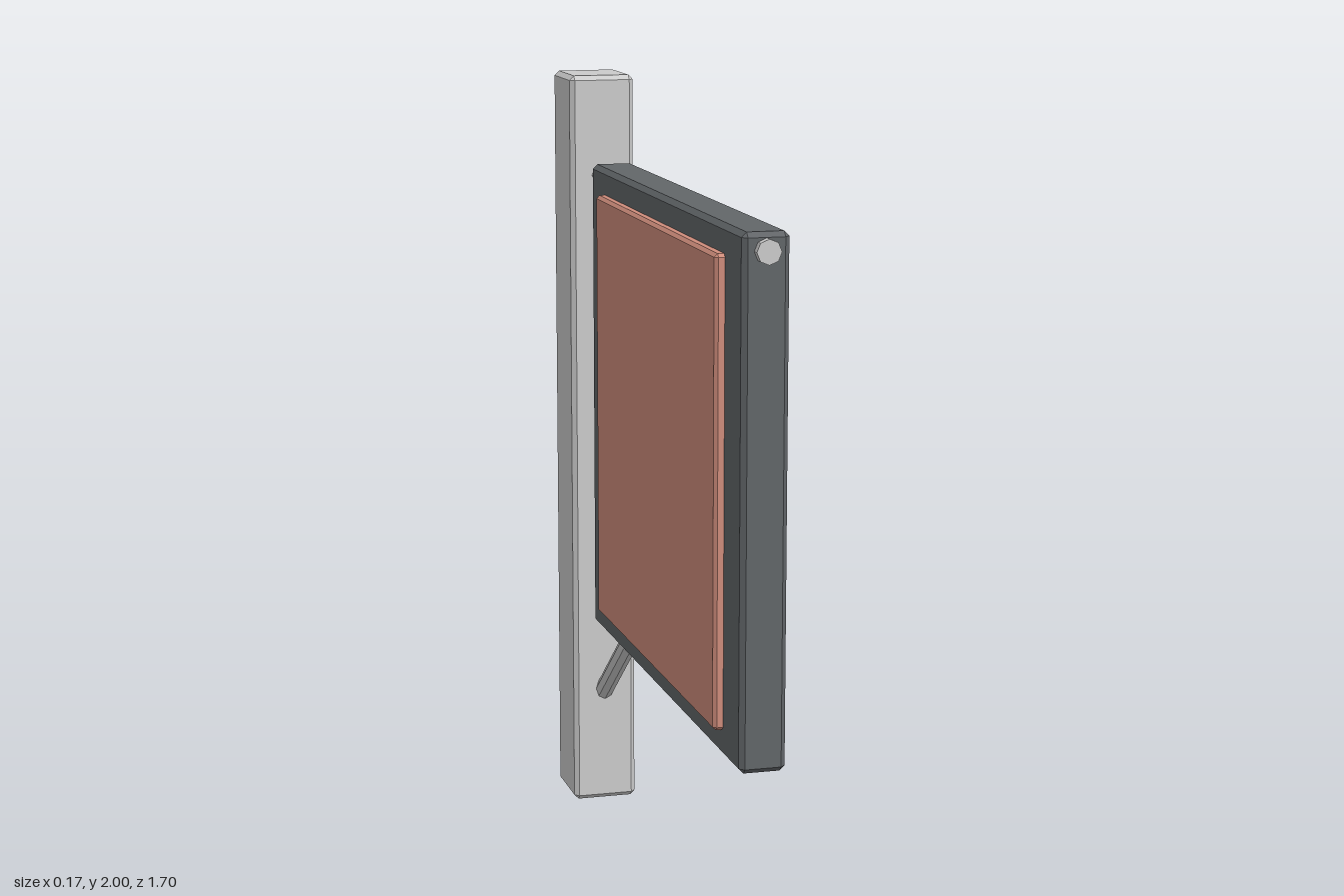
import * as THREE from 'three';
import { ConvexGeometry } from 'three/addons/geometries/ConvexGeometry.js';

const paint = (color) => new THREE.MeshStandardMaterial({ color, flatShading: true });

// Box with every edge chamfered by c, spanning the given half width, y range and z range
function chamferBox(name, halfX, [y0, y1], [z0, z1], c, material) {
  const hy = (y1 - y0) / 2, hz = (z1 - z0) / 2;
  const points = [];
  for (const sx of [-1, 1]) for (const sy of [-1, 1]) for (const sz of [-1, 1]) {
    points.push(
      new THREE.Vector3(sx * halfX, sy * (hy - c), sz * (hz - c)),
      new THREE.Vector3(sx * (halfX - c), sy * hy, sz * (hz - c)),
      new THREE.Vector3(sx * (halfX - c), sy * (hy - c), sz * hz));
  }
  const mesh = new THREE.Mesh(new ConvexGeometry(points), material);
  mesh.name = name;
  mesh.position.set(0, (y0 + y1) / 2, (z0 + z1) / 2);
  return mesh;
}

// Eight-sided rod between two points
function rod(name, from, to, radius, material) {
  const dir = to.clone().sub(from);
  const mesh = new THREE.Mesh(new THREE.CylinderGeometry(radius, radius, dir.length(), 8), material);
  mesh.name = name;
  mesh.position.copy(from).add(to).multiplyScalar(0.5);
  mesh.quaternion.setFromUnitVectors(new THREE.Vector3(0, 1, 0), dir.normalize());
  return mesh;
}

export function createModel() {
  const grey = paint(0xcccccc), dark = paint(0x626669), clay = paint(0xcf8d7c);
  const model = new THREE.Group();
  model.name = 'hangingSign';

  // Upright post at the back
  model.add(chamferBox('post', 0.086, [0, 2], [-0.85, -0.655], 0.012, grey));

  // Sign board, with a raised face panel on each side
  model.add(chamferBox('signBoard', 0.055, [0.54, 1.78], [-0.55, 0.83], 0.012, dark));
  for (const side of [-1, 1]) {
    const panel = chamferBox(side > 0 ? 'leftPanel' : 'rightPanel',
      0.02, [0.605, 1.715], [-0.415, 0.692], 0.008, clay);
    panel.position.x = side * 0.058;
    model.add(panel);
  }

  // Top bar through the board and diagonal brace below it
  model.add(rod('topBar', new THREE.Vector3(0, 1.738, -0.7), new THREE.Vector3(0, 1.738, 0.85), 0.029, grey));
  model.add(rod('brace', new THREE.Vector3(0, 0.285, -0.7), new THREE.Vector3(0, 0.58, -0.31), 0.025, grey));

  return model;
}
